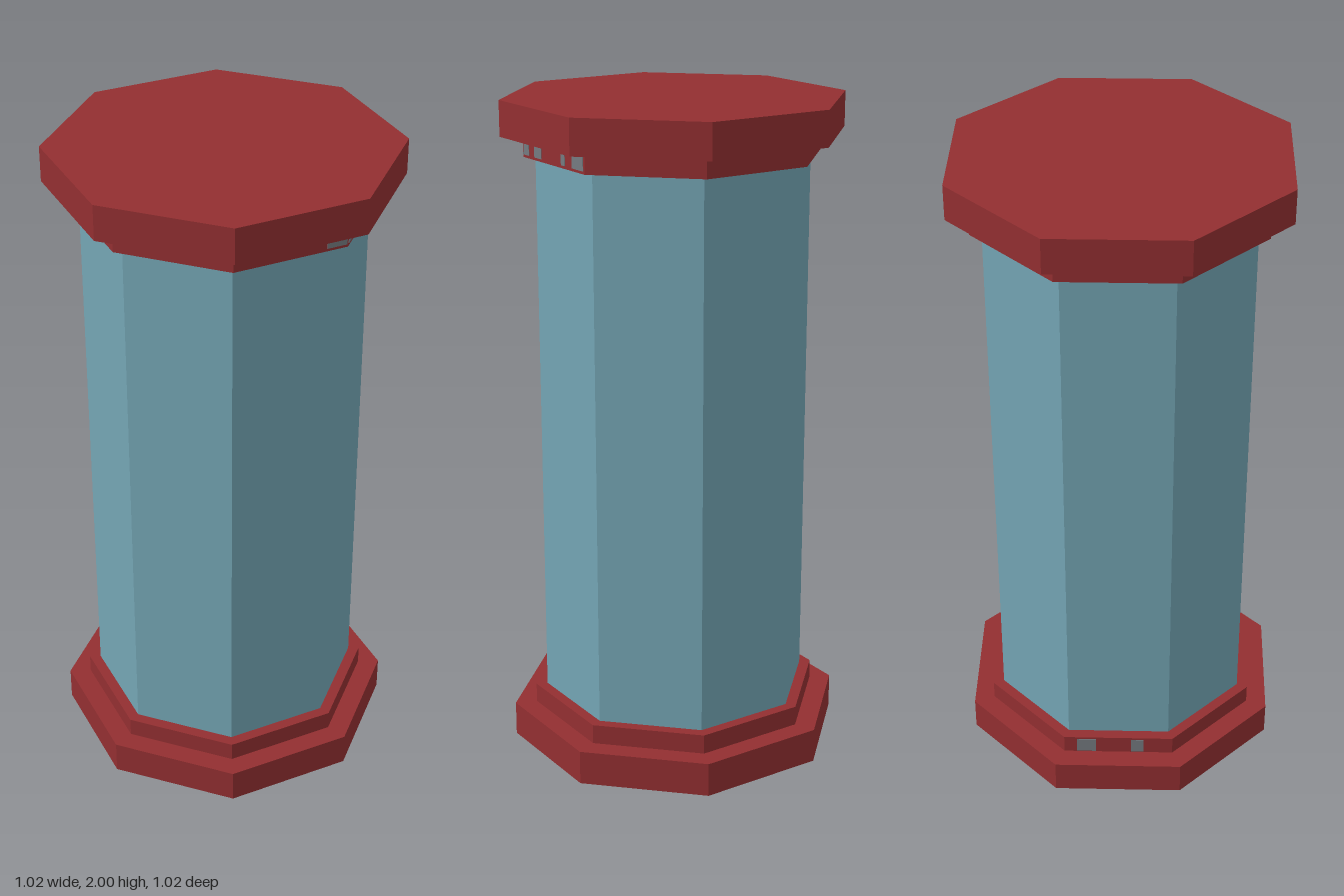
import * as THREE from 'three';

const red = new THREE.MeshStandardMaterial({ name: 'red trim', color: 0x932f31, flatShading: true });
const blue = new THREE.MeshStandardMaterial({ name: 'blue shaft', color: 0x74a5b4, flatShading: true });
const grey = new THREE.MeshStandardMaterial({ name: 'grey chip', color: 0x757b80 });

const RING_RADIUS = 0.445;

// Octagonal prism from y0 to y1, with a corner facing the front
function octagon(name, radius, y0, y1, material, open = false) {
  const geometry = new THREE.CylinderGeometry(radius, radius, y1 - y0, 8, 1, open);
  const mesh = new THREE.Mesh(geometry, material);
  mesh.name = name;
  mesh.position.y = (y0 + y1) / 2;
  return mesh;
}

// Thin worn patch on one flat side of a ring
function chip(side, offset, y, width) {
  const holder = new THREE.Group();
  holder.name = 'wornChip';
  holder.rotation.y = (side + 0.5) * Math.PI / 4;
  const mesh = new THREE.Mesh(new THREE.BoxGeometry(width, 0.05, 0.003), grey);
  mesh.name = 'chipPlate';
  mesh.position.set(offset, y, RING_RADIUS * Math.cos(Math.PI / 8));
  holder.add(mesh);
  return holder;
}

export function createModel() {
  const model = new THREE.Group();
  model.name = 'column';

  // Shaft
  model.add(octagon('shaft', 0.41, 0.16, 1.84, blue, true));

  // Stepped base and matching capital
  model.add(octagon('basePlinth', 0.512, 0, 0.105, red));
  model.add(octagon('baseRing', RING_RADIUS, 0.1, 0.165, red));
  model.add(octagon('capitalRing', RING_RADIUS, 1.835, 1.9, red));
  model.add(octagon('capitalSlab', 0.512, 1.895, 2, red));

  // Worn patches: side, offset along it, height, width
  const chips = [
    [1, 0.138, 1.868, 0.06], [2, -0.15, 1.868, 0.03], [2, -0.084, 1.868, 0.04],
    [2, 0.055, 1.868, 0.02], [2, 0.134, 1.868, 0.06],
    [6, -0.1, 0.133, 0.06], [6, 0.06, 0.133, 0.04],
  ];
  for (const c of chips) model.add(chip(...c));

  return model;
}
